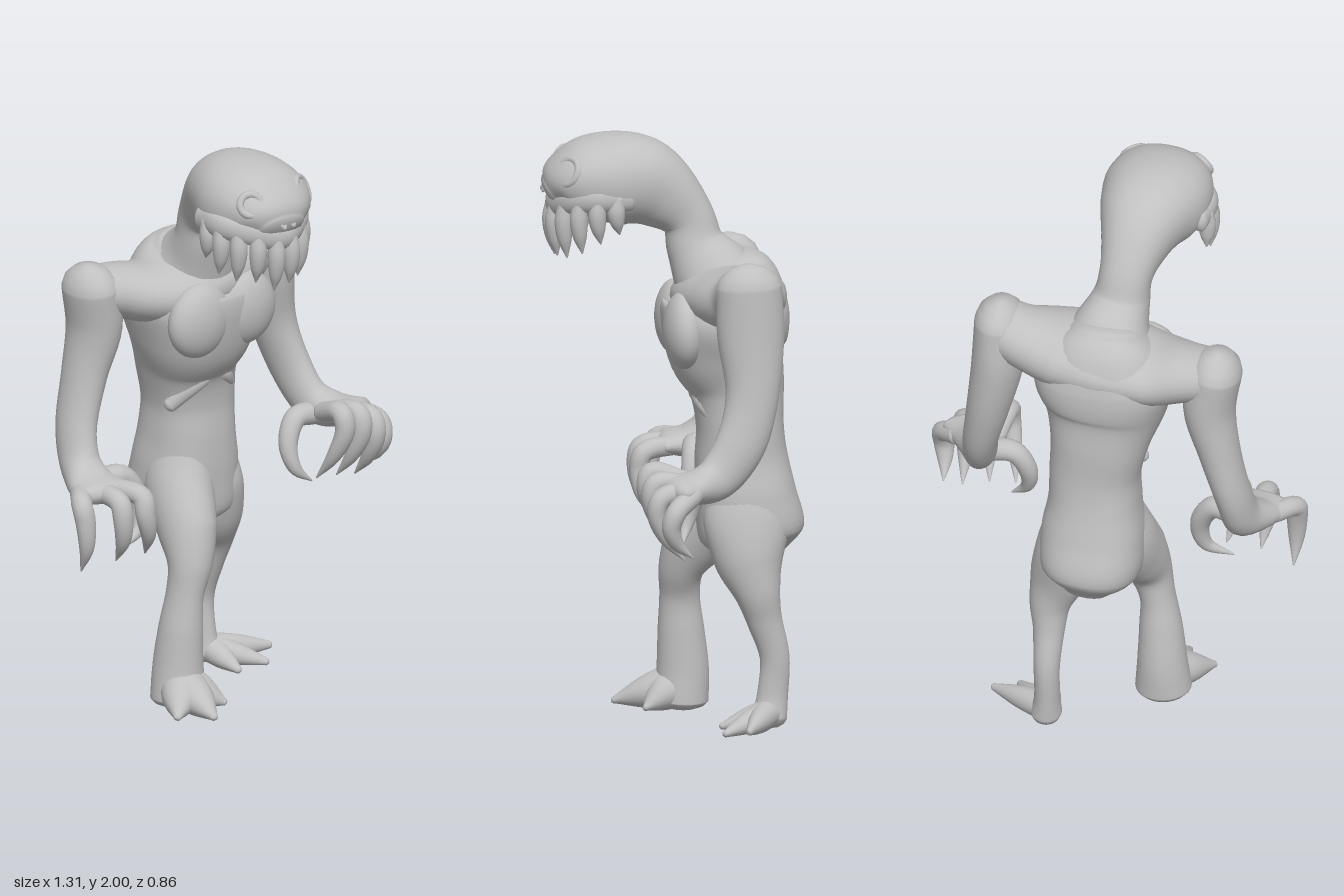
import * as THREE from 'three';

const skin = new THREE.MeshStandardMaterial({ color: 0xc0c0c0 });
skin.name = 'grey skin';

// Smooth tube through sections [x, y, z, halfWidth, halfDepth], with rounded ends.
// Half-width lies along ref, half-depth across it; power below 1 makes sections boxier.
function loft(name, sections, { ref = [1, 0, 0], cap = 0.9, sides = 28, steps = 6, power = 1 } = {}) {
  const path = new THREE.CatmullRomCurve3(sections.map(s => new THREE.Vector3(s[0], s[1], s[2])));
  const size = new THREE.CatmullRomCurve3(sections.map(s => new THREE.Vector3(s[3], s[4], 0)), false, 'catmullrom', 0.5);
  const refV = new THREE.Vector3(...ref);
  const rings = [];
  const addRing = (t, scale, push) => {
    const T = path.getTangent(t);
    const u = refV.clone().addScaledVector(T, -T.dot(refV)).normalize();
    const v = T.clone().cross(u);
    const r = size.getPoint(t);
    const c = path.getPoint(t).addScaledVector(T, push * cap * Math.min(r.x, r.y));
    rings.push({ c, u, v, w: Math.max(r.x, 0.001) * scale, h: Math.max(r.y, 0.001) * scale });
  };
  const capAngles = [0.13, 0.52, 0.98, 1.4];
  [...capAngles].reverse().forEach(a => addRing(0, Math.cos(a), -Math.sin(a)));
  const n = (sections.length - 1) * steps;
  for (let i = 0; i <= n; i++) addRing(i / n, 1, 0);
  capAngles.forEach(a => addRing(1, Math.cos(a), Math.sin(a)));

  const bend = k => Math.sign(k) * Math.abs(k) ** power;
  const pos = [], index = [];
  for (const g of rings) {
    for (let j = 0; j < sides; j++) {
      const a = j / sides * Math.PI * 2;
      const p = g.c.clone().addScaledVector(g.u, g.w * bend(Math.cos(a))).addScaledVector(g.v, g.h * bend(Math.sin(a)));
      pos.push(p.x, p.y, p.z);
    }
  }
  const last = rings.length - 1;
  for (let i = 0; i < last; i++) {
    for (let j = 0; j < sides; j++) {
      const a = i * sides + j, b = i * sides + (j + 1) % sides;
      index.push(a, b, a + sides, b, b + sides, a + sides);
    }
  }
  const first = pos.length / 3;
  pos.push(...rings[0].c.toArray(), ...rings[last].c.toArray());
  for (let j = 0; j < sides; j++) {
    const k = (j + 1) % sides;
    index.push(first, k, j, first + 1, last * sides + j, last * sides + k);
  }
  const geo = new THREE.BufferGeometry();
  geo.setAttribute('position', new THREE.Float32BufferAttribute(pos, 3));
  geo.setIndex(index);
  geo.computeVertexNormals();
  const mesh = new THREE.Mesh(geo, skin);
  mesh.name = name;
  return mesh;
}

function ellipsoid(name, center, radii, rotZ = 0) {
  const mesh = new THREE.Mesh(new THREE.SphereGeometry(1, 28, 18), skin);
  mesh.name = name;
  mesh.position.set(...center);
  mesh.scale.set(...radii);
  mesh.rotation.z = rotZ;
  return mesh;
}

// Finger that rises to a knuckle and curls down into a claw
function finger(base, k, tip) {
  return loft('clawedFinger', [
    [...base, 0.036, 0.034],
    [...k, 0.036, 0.034],
    [k[0], k[1] - 0.055, k[2] + 0.018, 0.036, 0.032],
    [(k[0] + tip[0]) / 2, (k[1] + tip[1]) / 2 - 0.03, (k[2] + tip[2]) / 2 + 0.025, 0.026, 0.024],
    [...tip, 0.003, 0.003],
  ], { sides: 14 });
}

// Wedge toe, thick at the ankle
function toe(ankle, tip, r) {
  const mid = ankle.map((v, i) => v * 0.5 + tip[i] * 0.5);
  return loft('toe', [[...ankle, r, r], [...mid, r * 0.78, r * 0.72], [...tip, 0.014, 0.012]], { ref: [0.7, 0, 0.3], sides: 18 });
}

export function createModel() {
  const model = new THREE.Group();
  model.name = 'creature';
  const add = (...m) => model.add(...m);

  // Torso and shoulder girdle
  add(loft('torso', [
    [0.035, 0.575, -0.26, 0.09, 0.1], [0.03, 0.645, -0.25, 0.165, 0.175], [0.028, 0.78, -0.228, 0.172, 0.168],
    [0.025, 0.90, -0.215, 0.155, 0.155], [0.025, 1.02, -0.21, 0.152, 0.145], [0.01, 1.15, -0.2, 0.168, 0.16],
    [0, 1.27, -0.17, 0.208, 0.198], [0, 1.39, -0.163, 0.24, 0.213], [0, 1.48, -0.155, 0.2, 0.195], [0, 1.54, -0.13, 0.13, 0.15],
  ], { cap: 0.3, sides: 44, power: 0.85 }));
  add(loft('shoulders', [
    [-0.37, 1.475, -0.23, 0.103, 0.082], [-0.28, 1.457, -0.215, 0.125, 0.093], [-0.17, 1.435, -0.19, 0.165, 0.102],
    [0, 1.455, -0.175, 0.195, 0.115], [0.17, 1.475, -0.185, 0.165, 0.11], [0.27, 1.505, -0.197, 0.125, 0.1], [0.345, 1.535, -0.195, 0.105, 0.09],
  ], { ref: [0, 0, 1], cap: 0.5 }));
  for (const s of [-1, 1]) {
    add(ellipsoid('pectoral', [s * 0.1, 1.36, -0.012], [0.125, 0.13, 0.07], s * 0.35));
    add(loft('ribArch', [
      [0.01, 1.14, -0.062, 0.025, 0.02], [0.01 + s * 0.06, 1.11, -0.07, 0.025, 0.02], [0.01 + s * 0.13, 1.03, -0.135, 0.025, 0.02],
    ], { ref: [0, 1, 0], sides: 12 }));
  }

  // Neck and skull in one sweep
  add(loft('neckAndHead', [
    [0, 1.42, -0.19, 0.2, 0.14], [-0.01, 1.53, -0.12, 0.135, 0.135], [-0.03, 1.62, -0.07, 0.098, 0.1], [-0.042, 1.71, -0.045, 0.09, 0.09],
    [-0.055, 1.785, 0.025, 0.117, 0.122], [-0.068, 1.835, 0.11, 0.156, 0.15], [-0.083, 1.85, 0.21, 0.183, 0.15],
    [-0.09, 1.85, 0.3, 0.175, 0.13], [-0.098, 1.83, 0.365, 0.142, 0.095], [-0.102, 1.805, 0.4, 0.09, 0.06],
  ], { cap: 0.4, sides: 44, power: 0.93 }));

  // Lip and hanging teeth follow the same arc
  const jaw = deg => {
    const a = deg * Math.PI / 180;
    return [-0.092 + 0.17 * Math.sin(a), 1.765 + 0.045 * Math.abs(Math.sin(a)), 0.235 + 0.165 * Math.cos(a)];
  };
  add(loft('upperLip', [-115, -75, -40, 0, 40, 75, 115].map(d => [...jaw(d), 0.042, 0.026]), { ref: [0, 1, 0], sides: 16 }));
  const lengths = [0.13, 0.17, 0.18, 0.17, 0.19, 0.18, 0.19, 0.18, 0.15, 0.12];
  lengths.forEach((len, i) => {
    const [x, y, z] = jaw(-100 + i * 200 / 9);
    add(loft('tooth', [
      [x, y, z, 0.022, 0.022], [x, y - len * 0.35, z + 0.006, 0.03, 0.03],
      [x, y - len * 0.7, z + 0.002, 0.023, 0.023], [x, y - len, z - 0.006, 0.003, 0.003],
    ], { sides: 14 }));
  });

  // Eyes with raised socket rims, nostril rims
  for (const [s, x, r] of [[-1, -0.205, 0.036], [1, 0.022, 0.044]]) {
    const eye = new THREE.Group();
    eye.name = 'eye';
    const rim = new THREE.Mesh(new THREE.TorusGeometry(r, 0.013, 12, 28), skin);
    rim.name = 'eyeSocketRim';
    eye.add(rim, ellipsoid('eyeball', [0, 0, -0.008], [r * 0.8, r * 0.8, 0.016]));
    eye.position.set(x, 1.895, 0.364);
    eye.lookAt(x + s * 0.5, 1.895 + 0.4, 0.364 + 0.75);
    add(eye);
  }
  for (const x of [-0.118, -0.078]) {
    const nostril = new THREE.Mesh(new THREE.TorusGeometry(0.01, 0.005, 8, 16), skin);
    nostril.name = 'nostril';
    nostril.position.set(x, 1.83, 0.426);
    nostril.scale.y = 1.9;
    nostril.rotation.x = -0.5;
    add(nostril);
  }

  // Left arm, bent forward, with hand
  add(loft('leftArm', [
    [0.355, 1.555, -0.195, 0.085, 0.11], [0.36, 1.40, -0.2, 0.088, 0.113], [0.395, 1.2, -0.2, 0.072, 0.09],
    [0.43, 1.04, -0.155, 0.06, 0.085], [0.45, 0.935, -0.075, 0.058, 0.075], [0.475, 0.91, 0, 0.08, 0.058], [0.5, 0.915, 0.075, 0.11, 0.04],
  ], { cap: 1 }));
  const leftFingers = [
    [[0.42, 0.92, 0.03], [0.40, 0.95, 0.14], [0.36, 0.71, 0.06]],
    [[0.47, 0.92, 0.03], [0.48, 0.93, 0.135], [0.45, 0.70, 0.06]],
    [[0.52, 0.91, 0.03], [0.55, 0.895, 0.125], [0.54, 0.68, 0.05]],
    [[0.55, 0.9, 0.02], [0.615, 0.86, 0.085], [0.6, 0.7, 0.03]],
  ];
  leftFingers.forEach(f => add(finger(...f)));
  add(loft('leftThumb', [
    [0.43, 0.9, -0.03, 0.04, 0.04], [0.345, 0.9, -0.03, 0.038, 0.036], [0.3, 0.82, -0.015, 0.032, 0.032],
    [0.31, 0.74, 0.01, 0.022, 0.022], [0.365, 0.69, 0.03, 0.003, 0.003],
  ], { ref: [0, 0, 1], sides: 16 }));

  // Right arm, hanging lower, with hand
  add(loft('rightArm', [
    [-0.39, 1.485, -0.23, 0.088, 0.108], [-0.37, 1.35, -0.235, 0.088, 0.103], [-0.405, 1.18, -0.245, 0.07, 0.085],
    [-0.45, 1.0, -0.235, 0.06, 0.08], [-0.47, 0.89, -0.19, 0.065, 0.075], [-0.49, 0.845, -0.11, 0.09, 0.055], [-0.5, 0.84, -0.04, 0.11, 0.038],
  ], { cap: 1 }));
  const rightFingers = [
    [[-0.55, 0.84, -0.1], [-0.615, 0.825, -0.02], [-0.61, 0.59, -0.03]],
    [[-0.5, 0.84, -0.07], [-0.505, 0.825, 0.045], [-0.49, 0.61, 0.01]],
    [[-0.45, 0.84, -0.07], [-0.41, 0.825, 0.05], [-0.37, 0.61, 0.02]],
  ];
  rightFingers.forEach(f => add(finger(...f)));
  add(loft('rightThumb', [
    [-0.45, 0.84, -0.13, 0.045, 0.042], [-0.36, 0.845, -0.11, 0.04, 0.038], [-0.305, 0.76, -0.09, 0.032, 0.034],
    [-0.32, 0.66, -0.07, 0.023, 0.024], [-0.41, 0.615, -0.05, 0.003, 0.003],
  ], { ref: [0, 0, 1], sides: 16 }));

  // Legs: left set back and slim, right stepping forward with a flared shin
  add(loft('leftLeg', [
    [0.085, 0.86, -0.215, 0.08, 0.1], [0.115, 0.72, -0.22, 0.1, 0.145], [0.142, 0.58, -0.225, 0.1, 0.118], [0.17, 0.47, -0.25, 0.071, 0.078],
    [0.17, 0.38, -0.272, 0.054, 0.06], [0.17, 0.25, -0.307, 0.044, 0.05], [0.17, 0.12, -0.3, 0.043, 0.052], [0.175, 0.05, -0.29, 0.052, 0.058],
  ], { cap: 0.8 }));
  add(loft('rightLeg', [
    [-0.03, 0.87, -0.2, 0.085, 0.11], [-0.055, 0.73, -0.165, 0.11, 0.125], [-0.093, 0.6, -0.08, 0.095, 0.11], [-0.12, 0.5, -0.035, 0.076, 0.078],
    [-0.145, 0.4, -0.032, 0.06, 0.068], [-0.158, 0.28, -0.038, 0.072, 0.078], [-0.165, 0.14, -0.045, 0.084, 0.088], [-0.168, 0.04, -0.04, 0.095, 0.092],
  ], { cap: 0.4 }));
  for (const tip of [[0.375, 0.045, -0.195], [0.3, 0.022, -0.125], [0.18, 0.02, -0.13]]) add(toe([0.185, 0.06, -0.28], tip, 0.05));
  for (const tip of [[-0.305, 0.035, 0.11], [-0.205, 0.03, 0.18], [-0.08, 0.03, 0.09]]) add(toe([-0.168, 0.085, -0.02], tip, 0.075));

  return model;
}
